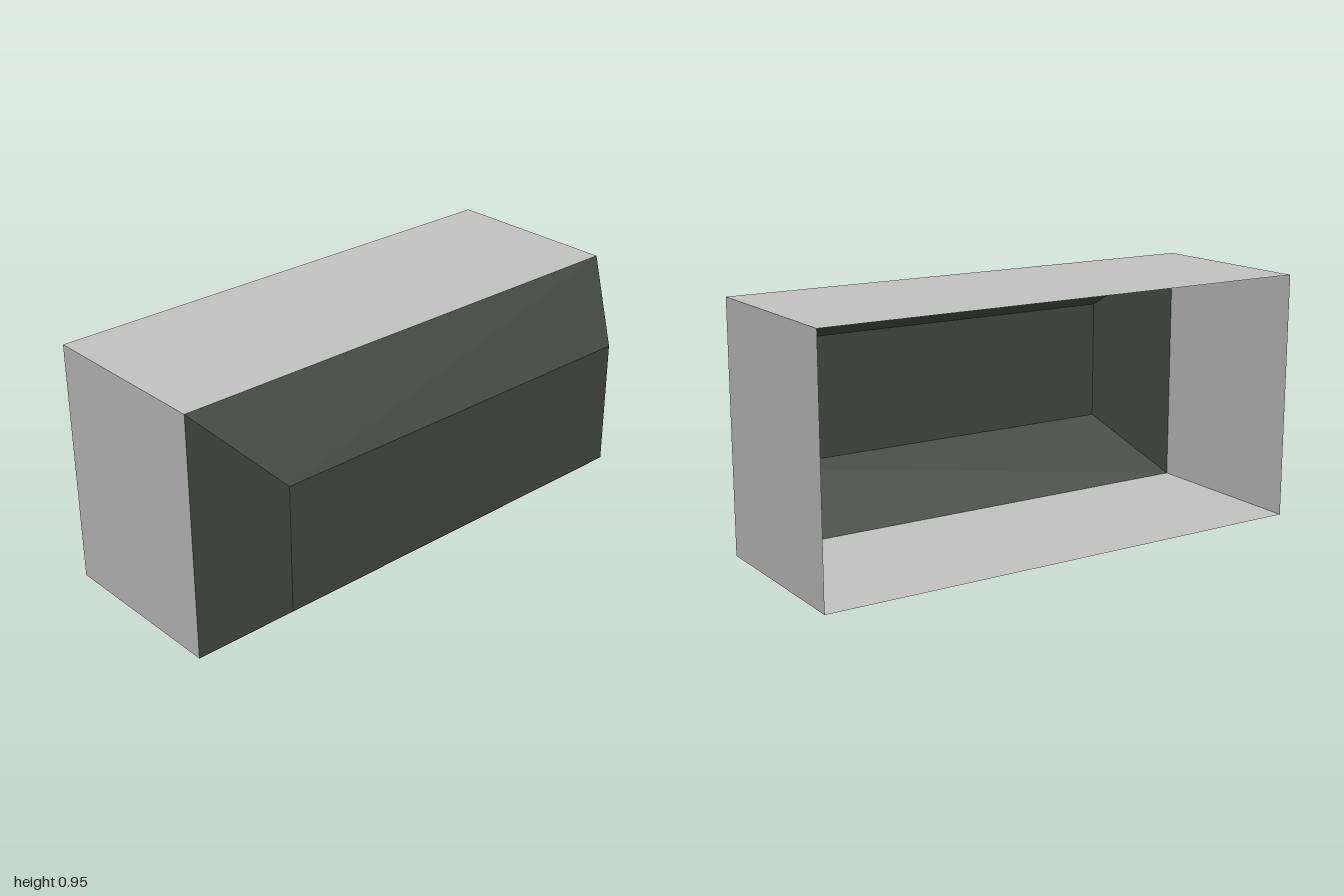
import * as THREE from 'three';

const HEIGHT = 0.953;

// Rectangle corners, counter-clockwise as seen from the front
function rectangle(halfWidth, inset, z) {
  const top = HEIGHT - inset;
  return [[-halfWidth, inset, z], [halfWidth, inset, z], [halfWidth, top, z], [-halfWidth, top, z]];
}

// Flat quad a-b-c-d, outward side counter-clockwise
const quad = (a, b, c, d) => [a, b, c, a, c, d].flat();

// Four walls joining a back rectangle to a front rectangle
function walls(back, front) {
  return back.flatMap((corner, i) => {
    const j = (i + 1) % 4;
    return quad(corner, back[j], front[j], front[i]);
  });
}

function panelMesh(name, positions, material) {
  const geometry = new THREE.BufferGeometry();
  geometry.setAttribute('position', new THREE.Float32BufferAttribute(positions, 3));
  geometry.computeVertexNormals();
  const mesh = new THREE.Mesh(geometry, material);
  mesh.name = name;
  return mesh;
}

export function createModel() {
  const casingGrey = new THREE.MeshStandardMaterial({ color: 0xc0c0c0, side: THREE.DoubleSide });
  casingGrey.name = 'casing grey';
  const darkGreen = new THREE.MeshStandardMaterial({ color: 0x3b423a, side: THREE.DoubleSide });
  darkGreen.name = 'dark green';

  const back = rectangle(1, 0, -0.484);
  const middle = rectangle(1, 0, 0.222);
  const front = rectangle(0.79, 0.234, 0.484);

  const group = new THREE.Group();
  group.name = 'openBackedHousing';
  group.add(
    // Thin casing, open at the back
    panelMesh('casing', walls(back, middle), casingGrey),
    // Sloping surround and the flat panel that closes the front
    panelMesh('bevelSurround', walls(middle, front), darkGreen),
    panelMesh('frontPanel', quad(...front), darkGreen),
  );
  return group;
}
